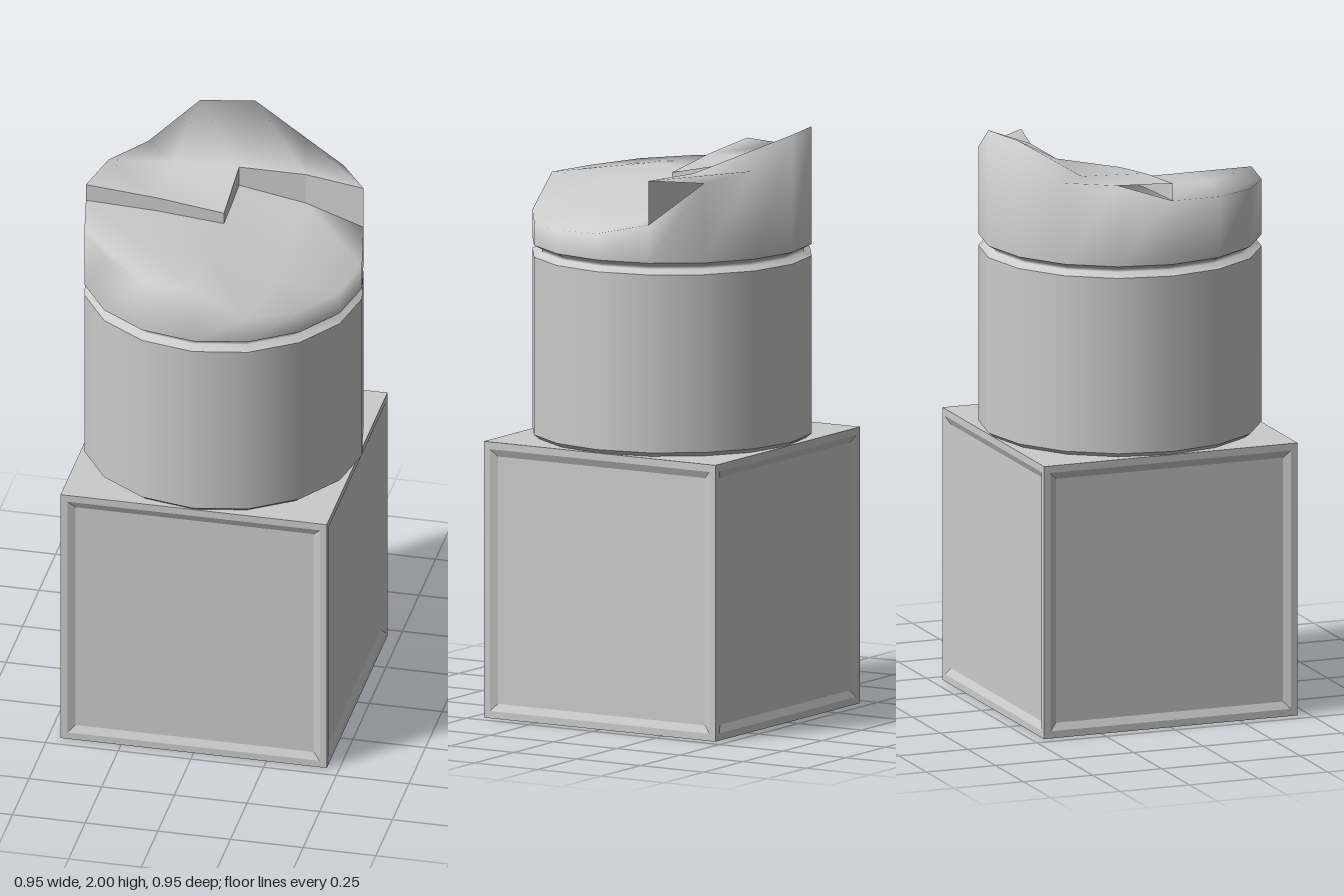
import * as THREE from 'three';

const material = new THREE.MeshStandardMaterial({ color: 0xcccccc, side: THREE.DoubleSide });
const flatMaterial = new THREE.MeshStandardMaterial({ color: 0xcccccc, side: THREE.DoubleSide, flatShading: true });
const R = 0.475, HALF = 0.458, BASE_H = 0.94, GROOVE_Y = 1.6;

function mesh(name, geometry, mat = material) {
  const m = new THREE.Mesh(geometry, mat);
  m.name = name;
  return m;
}

// Heights of the broken top on a 5 x 5 grid (rows back to front, columns -x to +x)
const HIGH = [
  [1.88, 2.0, 2.0, 1.9, 1.87],
  [1.88, 1.87, 1.88, 1.88, 1.88],
  [1.88, 1.86, 1.83],
];
const LOW = [
  [],
  [0, 0, 1.81, 1.77, 1.73],
  [1.82, 1.81, 1.79, 1.74, 1.69],
  [1.81, 1.81, 1.79, 1.73, 1.68],
  [1.8, 1.79, 1.79, 1.69, 1.68],
];

// Grid cell corner to plan position: square inside, circle on the rim
function plan(row, col) {
  const i = col - 2, j = row - 2;
  if (Math.max(Math.abs(i), Math.abs(j)) < 2) return [i * 0.23, j * 0.23];
  if (Math.abs(i) >= Math.abs(j)) {
    const a = (Math.PI / 4) * (j / i), s = Math.sign(i) * R;
    return [s * Math.cos(a), s * Math.sin(a)];
  }
  const a = (Math.PI / 4) * (i / j), s = Math.sign(j) * R;
  return [s * Math.sin(a), s * Math.cos(a)];
}

// Collects shared vertices by key so that neighbouring faces shade smoothly
function builder() {
  const pos = [], index = [], ids = new Map();
  const vertex = (key, x, y, z) => {
    if (!ids.has(key)) {
      ids.set(key, pos.length / 3);
      pos.push(x, y, z);
    }
    return ids.get(key);
  };
  const quad = (a, b, c, d) => index.push(a, b, c, a, c, d);
  const geometry = () => {
    const g = new THREE.BufferGeometry();
    g.setAttribute('position', new THREE.Float32BufferAttribute(pos, 3));
    g.setIndex(index);
    g.computeVertexNormals();
    return g;
  };
  return { vertex, quad, geometry };
}

function gridVertex(b, table, row, col) {
  const [x, z] = plan(row, col);
  return b.vertex(`${table === HIGH ? 'h' : 'l'}${row},${col}`, x, table[row][col], z);
}

function brokenTop() {
  const group = new THREE.Group();
  group.name = 'brokenTop';
  const b = builder();

  // Upper and lower fracture surfaces
  for (let r = 0; r < 4; r++) {
    for (let c = 0; c < 4; c++) {
      const t = r === 0 || (r === 1 && c < 2) ? HIGH : LOW;
      b.quad(gridVertex(b, t, r, c), gridVertex(b, t, r + 1, c),
        gridVertex(b, t, r + 1, c + 1), gridVertex(b, t, r, c + 1));
    }
  }

  // Outer wall below the rim, front left corner first, anticlockwise from above
  const rim = [];
  for (let k = 0; k < 4; k++) rim.push([4, k]);
  for (let k = 4; k > 0; k--) rim.push([k, 4]);
  for (let k = 4; k > 0; k--) rim.push([0, k]);
  for (let k = 0; k < 4; k++) rim.push([k, 0]);
  const top = ([r, c]) => {
    const low = r > 1 || (r === 1 && c === 4);
    return gridVertex(b, low ? LOW : HIGH, r, c);
  };
  const bottom = ([r, c]) => {
    const [x, z] = plan(r, c);
    return b.vertex(`b${r},${c}`, x, GROOVE_Y, z);
  };
  rim.forEach((p, k) => {
    const q = rim[(k + 1) % rim.length];
    b.quad(bottom(p), bottom(q), top(q), top(p));
  });
  group.add(mesh('fractureSurface', b.geometry()));

  // Upright faces where the fracture steps down
  const s = builder();
  const steps = [[2, 0], [2, 1], [2, 2], [1, 2], [1, 3], [1, 4]];
  for (let k = 0; k < steps.length - 1; k++) {
    const p = steps[k], q = steps[k + 1];
    s.quad(gridVertex(s, LOW, ...p), gridVertex(s, LOW, ...q),
      gridVertex(s, HIGH, ...q), gridVertex(s, HIGH, ...p));
  }
  group.add(mesh('fractureStep', s.geometry(), flatMaterial));
  return group;
}

function lathe(points, segments) {
  return new THREE.LatheGeometry(points.map(([x, y]) => new THREE.Vector2(x, y)), segments);
}

function pedestal() {
  const group = new THREE.Group();
  group.name = 'pedestal';
  // Four framed panels around a hollow block, open underneath
  const d = Math.SQRT2;
  for (let k = 0; k < 4; k++) {
    const g = lathe([[HALF * d, HALF], [0.434 * d, HALF], [0.41 * d, HALF - 0.012], [0, HALF - 0.012]], 4);
    g.rotateY(Math.PI / 4);
    g.rotateX(Math.PI / 2);
    g.scale(1, BASE_H / (2 * HALF), 1);
    g.rotateY((k * Math.PI) / 2);
    g.translate(0, BASE_H / 2, 0);
    group.add(mesh('sidePanel', g, flatMaterial));
  }
  const slab = new THREE.PlaneGeometry(2 * HALF, 2 * HALF).rotateX(-Math.PI / 2).translate(0, BASE_H, 0);
  group.add(mesh('pedestalTop', slab));
  return group;
}

export function createModel() {
  const model = new THREE.Group();
  model.name = 'brokenColumn';
  model.add(pedestal());

  // Column drum with a chamfered foot, then the groove under the broken top
  model.add(mesh('columnFoot', lathe([[0.455, BASE_H], [R, 0.955]], 16)));
  model.add(mesh('columnDrum', lathe([[R, 0.955], [R, 1.56]], 16)));
  model.add(mesh('groove', lathe([[R, 1.56], [0.447, 1.575], [0.447, 1.585], [R, GROOVE_Y]], 16)));
  model.add(brokenTop());
  return model;
}
